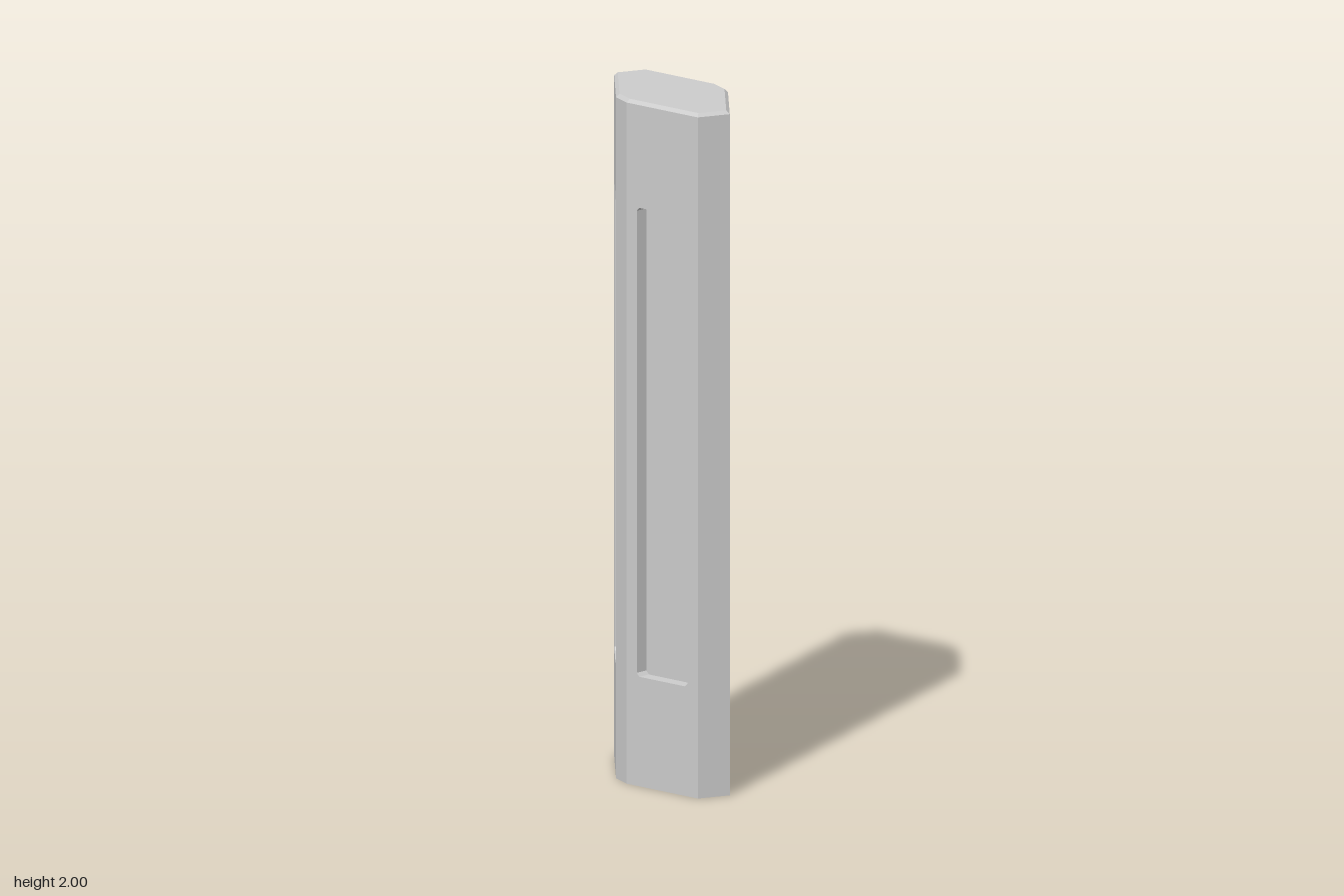
import * as THREE from 'three';

const BEVEL = 0.01, BODY = 2 - BEVEL, DEPTH = 0.04;
// Corners of one quarter of the eight-sided plan, as (x, z)
const END = new THREE.Vector2(0.05, 0.29);
const SIDE = new THREE.Vector2(0.158, 0.037);
const LENGTH = END.distanceTo(SIDE);
const NORMAL = new THREE.Vector2(END.y - SIDE.y, SIDE.x - END.x).normalize();

// Mirrors a quarter outline (end to side) into a closed plan
function mirrorPlan(quarter) {
  const back = [...quarter].reverse();
  return [
    ...quarter,
    ...back.map(p => new THREE.Vector2(p.x, -p.y)),
    ...quarter.map(p => new THREE.Vector2(-p.x, -p.y)),
    ...back.map(p => new THREE.Vector2(-p.x, p.y)),
  ];
}

function upright(plan, height) {
  const g = new THREE.ExtrudeGeometry(new THREE.Shape(plan), { depth: height, bevelEnabled: false });
  return g.rotateX(-Math.PI / 2);
}

// Rectangle with clipped corners
function clippedRect(w, y0, y1, c) {
  const h = w / 2;
  return [[-h + c, y0], [h - c, y0], [h, y0 + c], [h, y1 - c], [h - c, y1], [-h + c, y1], [-h, y1 - c], [-h, y0 + c]]
    .map(([x, y]) => new THREE.Vector2(x, y));
}

export function createModel() {
  const group = new THREE.Group();
  const grey = new THREE.MeshStandardMaterial({ color: 0xcccccc });
  grey.name = 'light grey';
  const add = (name, geometry) => {
    const mesh = new THREE.Mesh(geometry, grey);
    mesh.name = name;
    group.add(mesh);
    return mesh;
  };

  // Core, notched along its slanted sides; the notches form the recess floors
  const inward = p => p.clone().addScaledVector(NORMAL, -DEPTH);
  add('core', upright(mirrorPlan([END, inward(END), inward(SIDE), SIDE]), BODY));

  // Slanted walls, each with a tall recessed opening
  const wall = new THREE.Shape([[-1, 0], [1, 0], [1, BODY], [-1, BODY]]
    .map(([s, y]) => new THREE.Vector2(s * LENGTH / 2, y)));
  wall.holes.push(new THREE.Path(clippedRect(0.197, 0.32, 1.69, 0.01).reverse()));
  const wallGeometry = new THREE.ExtrudeGeometry(wall, { depth: DEPTH, bevelEnabled: false });
  const mid = inward(END.clone().add(SIDE).multiplyScalar(0.5));
  const up = new THREE.Vector3(0, 1, 0);
  for (const sx of [-1, 1]) for (const sz of [-1, 1]) {
    const out = new THREE.Vector3(sx * NORMAL.x, 0, sz * NORMAL.y);
    const along = up.clone().cross(out);
    const m = new THREE.Matrix4().makeBasis(along, up, out).setPosition(sx * mid.x, 0, sz * mid.y);
    add(`${sz > 0 ? 'front' : 'back'}${sx > 0 ? 'Left' : 'Right'}RecessedWall`, wallGeometry.clone().applyMatrix4(m));
  }

  // Bevelled cap: the upper corners are drawn in by an even margin
  const cap = upright(mirrorPlan([END, SIDE]), BEVEL);
  const pos = cap.attributes.position;
  const endX = END.x - BEVEL * (1 - NORMAL.y) / NORMAL.x;
  const sideZ = SIDE.y - BEVEL * (1 - NORMAL.x) / NORMAL.y;
  for (let i = 0; i < pos.count; i++) {
    if (pos.getY(i) < BEVEL / 2) continue;
    const x = pos.getX(i), z = pos.getZ(i), atEnd = Math.abs(z) > 0.1;
    pos.setX(i, Math.sign(x) * (atEnd ? endX : SIDE.x - BEVEL));
    pos.setZ(i, Math.sign(z) * (atEnd ? END.y - BEVEL : sideZ));
  }
  cap.computeVertexNormals();
  add('bevelledCap', cap).position.y = BODY;

  return group;
}
